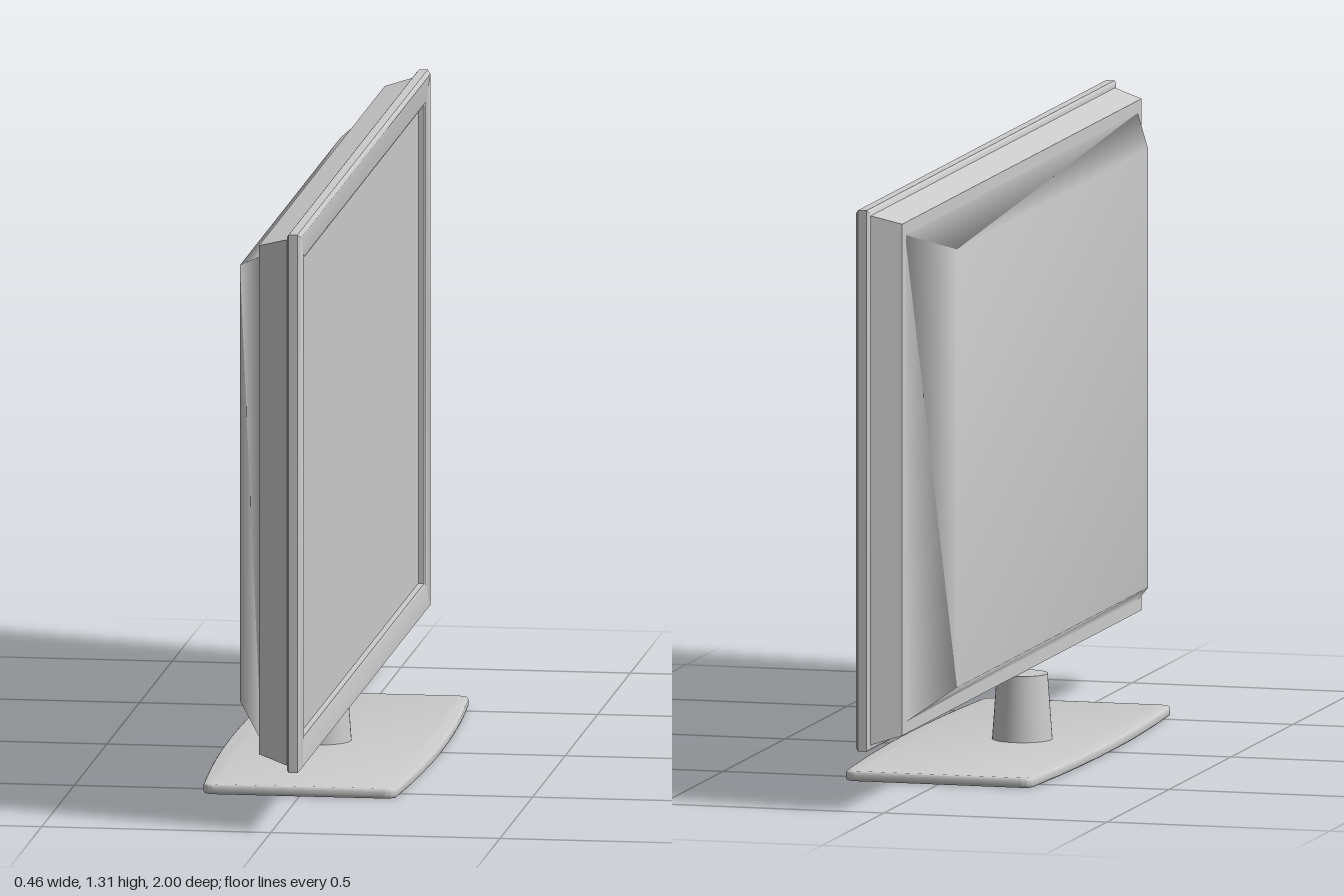
import * as THREE from 'three';
import { toCreasedNormals } from 'three/addons/utils/BufferGeometryUtils.js';

const material = new THREE.MeshStandardMaterial({ color: 0xcccccc });

// Joins rectangles [x, bottom, top, halfWidth] into a closed body, back to front.
function loft(sections) {
  const points = [];
  const index = [];
  for (const [x, y0, y1, z] of sections) {
    points.push(x, y0, -z, x, y1, -z, x, y1, z, x, y0, z);
  }
  for (let i = 0; i < sections.length - 1; i++) {
    for (let j = 0; j < 4; j++) {
      const a = i * 4 + j, b = i * 4 + (j + 1) % 4;
      index.push(a, b, b + 4, a, b + 4, a + 4);
    }
  }
  const n = (sections.length - 1) * 4;
  index.push(0, 2, 1, 0, 3, 2, n, n + 1, n + 2, n, n + 2, n + 3);
  const geometry = new THREE.BufferGeometry();
  geometry.setAttribute('position', new THREE.Float32BufferAttribute(points, 3));
  geometry.setIndex(index);
  geometry.computeVertexNormals();
  return geometry;
}

// Base plate outline: long sides bow outwards, corners are rounded.
function baseGeometry() {
  const w = 0.206, l = 0.562, r = 0.022, bow = 0.246;
  const shape = new THREE.Shape();
  shape.moveTo(w, -l + r);
  shape.quadraticCurveTo(bow, 0, w, l - r);
  shape.quadraticCurveTo(w, l, w - r, l);
  shape.lineTo(-w + r, l);
  shape.quadraticCurveTo(-w, l, -w, l - r);
  shape.quadraticCurveTo(-bow, 0, -w, -l + r);
  shape.quadraticCurveTo(-w, -l, -w + r, -l);
  shape.lineTo(w - r, -l);
  shape.quadraticCurveTo(w, -l, w, -l + r);
  const geometry = new THREE.ExtrudeGeometry(shape, {
    depth: 0.01, bevelThickness: 0.006, bevelSize: 0.006, bevelSegments: 3, curveSegments: 16,
  });
  geometry.rotateX(-Math.PI / 2).translate(0, 0.006, 0);
  return toCreasedNormals(geometry, 0.6);
}

export function createModel() {
  const group = new THREE.Group();
  const add = (name, geometry) => {
    const mesh = new THREE.Mesh(geometry, material);
    mesh.name = name;
    group.add(mesh);
    return mesh;
  };

  // Front frame with eased outer edge and a step down to the panel
  add('frame', toCreasedNormals(loft([
    [0.034, 0.138, 1.308, 0.994],
    [0.039, 0.132, 1.314, 1.0],
    [0.058, 0.132, 1.314, 1.0],
    [0.065, 0.14, 1.306, 0.992],
    [0.063, 0.192, 1.255, 0.936],
    [0.06, 0.198, 1.249, 0.93],
    [0.046, 0.198, 1.249, 0.93],
  ]), 0.75));

  // Screen panel set into the frame
  add('screen', new THREE.BoxGeometry(0.004, 1.05, 1.858)).position.set(0.0455, 0.7235, 0);

  // Tapered housing behind the frame
  add('housing', toCreasedNormals(loft([
    [-0.031, 0.165, 1.282, 0.965],
    [0.036, 0.144, 1.301, 0.985],
  ]), 0.5));

  // Softly shaded bulge on the back
  add('backCover', loft([
    [-0.1, 0.245, 1.202, 0.77],
    [-0.03, 0.19, 1.255, 0.938],
  ]));

  // Round tapered neck, standing through the base
  add('neck', new THREE.CylinderGeometry(0.055, 0.067, 0.165, 40)).position.set(-0.032, 0.0825, 0);

  add('base', baseGeometry());
  return group;
}
